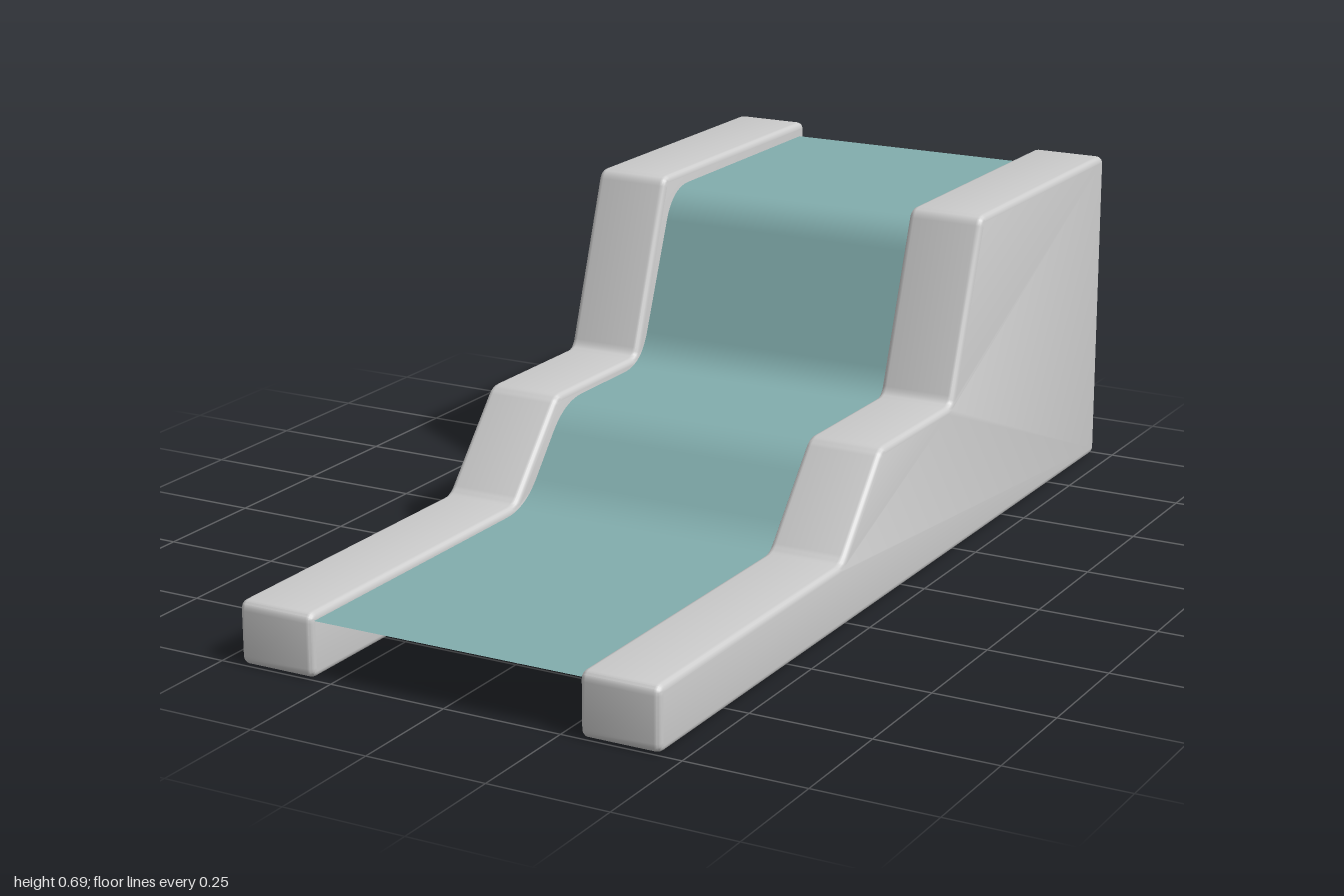
import * as THREE from 'three';
import { toCreasedNormals } from 'three/addons/utils/BufferGeometryUtils.js';

// Adds a rounded corner at p, coming from a and leaving towards b.
function corner(path, a, p, b, cut, first) {
  const P = new THREE.Vector2(...p);
  const towards = (q) => P.clone().add(new THREE.Vector2(...q).sub(P).setLength(cut));
  const s = towards(a), e = towards(b);
  if (first) path.moveTo(s.x, s.y);
  else path.lineTo(s.x, s.y);
  path.quadraticCurveTo(p[0], p[1], e.x, e.y);
}

export function createModel() {
  const model = new THREE.Group();
  const grey = new THREE.MeshStandardMaterial({ color: 0xcccccc });
  const teal = new THREE.MeshStandardMaterial({ color: 0x82adad, side: THREE.DoubleSide });

  // Stepped side wall: profile in (z, y), rounded along every edge.
  const wall = [
    [1, 0], [1, 0.13], [0.28, 0.13], [0.11, 0.32],
    [-0.215, 0.32], [-0.345, 0.69], [-1, 0.69], [-1, 0],
  ];
  const shape = new THREE.Shape();
  const n = wall.length;
  wall.forEach((p, i) => corner(shape, wall[(i + n - 1) % n], p, wall[(i + 1) % n], 0.02, i === 0));
  shape.closePath();

  const inner = 0.29, outer = 0.455, bevel = 0.013;
  let wallGeo = new THREE.ExtrudeGeometry(shape, {
    depth: outer - inner - 2 * bevel,
    bevelThickness: bevel, bevelSize: bevel, bevelOffset: -bevel,
    bevelSegments: 4, curveSegments: 5,
  });
  wallGeo.rotateY(-Math.PI / 2);
  wallGeo.computeBoundingBox();
  wallGeo.translate(-(wallGeo.boundingBox.min.x + wallGeo.boundingBox.max.x) / 2, 0, 0);
  wallGeo = toCreasedNormals(wallGeo, 0.7);
  for (const side of [-1, 1]) {
    const mesh = new THREE.Mesh(wallGeo, grey);
    mesh.name = side > 0 ? 'leftWall' : 'rightWall';
    mesh.position.x = side * (inner + outer) / 2;
    model.add(mesh);
  }

  // Thin sheet between the walls, running from the back down to the front.
  const run = [
    [-0.975, 0.66], [-0.375, 0.66], [-0.235, 0.3],
    [0.085, 0.3], [0.245, 0.115], [0.99, 0.115],
  ];
  const path = new THREE.Path();
  path.moveTo(...run[0]);
  for (let i = 1; i < run.length - 1; i++) corner(path, run[i - 1], run[i], run[i + 1], 0.07, false);
  path.lineTo(...run[run.length - 1]);
  const pts = path.getPoints(10);
  const sheetGeo = new THREE.PlaneGeometry(inner * 2, 1, 1, pts.length - 1);
  const pos = sheetGeo.attributes.position;
  for (let i = 0; i < pos.count; i++) {
    const p = pts[Math.floor(i / 2)];
    pos.setXYZ(i, pos.getX(i), p.y, p.x);
  }
  sheetGeo.computeVertexNormals();
  const sheet = new THREE.Mesh(sheetGeo, teal);
  sheet.name = 'slideSheet';
  model.add(sheet);

  return model;
}
